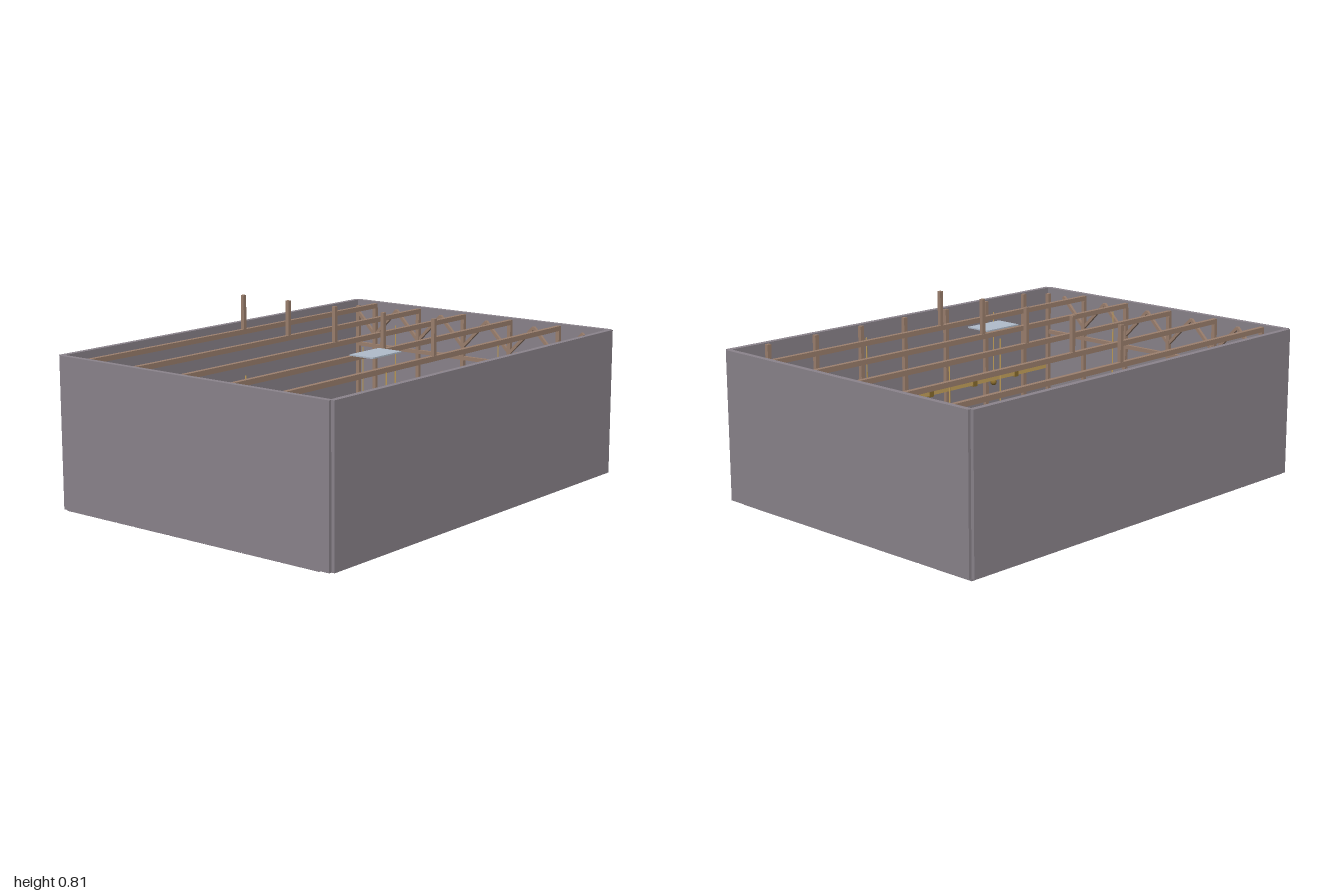
import * as THREE from 'three';

const mat = (name, color) => new THREE.MeshStandardMaterial({ name, color });

export function createModel() {
  const stone = mat('stone', 0x8b848c);
  const wood = mat('wood', 0x9c806e);
  const straw = mat('straw gold', 0xc8a45c);
  const brass = mat('dark brass', 0x8a6d2e);
  const glass = mat('pale glass', 0xb0bccb);

  const model = new THREE.Group();
  model.name = 'timberedHall';
  const group = (name, parent = model) => {
    const g = new THREE.Group();
    g.name = name;
    parent.add(g);
    return g;
  };
  const add = (parent, name, geometry, material, x, y, z) => {
    const m = new THREE.Mesh(geometry, material);
    m.name = name;
    m.position.set(x, y, z);
    parent.add(m);
    return m;
  };
  const box = (parent, name, material, w, h, d, x, y, z) =>
    add(parent, name, new THREE.BoxGeometry(w, h, d), material, x, y, z);

  // Floor of separate stone slabs, stopping short of the front wall
  const floor = group('floor');
  const step = 0.0985;
  for (let i = 0; i < 20; i++) {
    for (let j = 0; j < 14; j++) {
      const wide = j % 4 === 2 ? 0.088 : 0.094;
      box(floor, 'floorSlab', stone, 0.093, 0.01, wide,
        (i - 9.5) * step, 0.005, -0.72 + (j + 0.5) * step);
    }
  }

  // Four walls, meeting with small notches at the corners
  const walls = group('walls');
  for (const s of [-1, 1]) {
    box(walls, s > 0 ? 'frontWall' : 'backWall', stone, 1.97, 0.657, 0.025, 0, 0.3385, s * 0.7225);
    box(walls, 'sideWall', stone, 0.025, 0.657, 1.44, s * 0.9855, 0.3385, 0);
  }

  // Roof tie beams with king posts
  const roof = group('roofFrame');
  const beamZ = [0.463, 0.198, -0.066, -0.331, -0.595];
  for (const z of beamZ) {
    box(roof, 'tieBeam', wood, 1.94, 0.022, 0.02, 0, 0.649, z);
    box(roof, 'kingPost', wood, 0.017, 0.157, 0.017, 0, 0.7365, z);
  }

  // Upright studs inside the front wall
  const framing = group('wallFraming');
  for (let i = -3; i <= 3; i++) {
    box(framing, 'frontStud', wood, 0.02, 0.652, 0.018, i * 0.263, 0.336, 0.701);
  }

  // Side wall posts and diagonal braces
  for (const s of [-1, 1]) {
    const x = s * 0.964;
    for (const z of [-0.7, ...beamZ, 0.7]) {
      box(framing, 'sidePost', wood, 0.018, 0.63, 0.018, x, 0.325, z);
    }
    box(framing, 'sideRail', wood, 0.016, 0.018, 1.4, x, 0.45, 0);
    for (const z of beamZ) {
      for (const d of [-1, 1]) {
        const brace = box(framing, 'kneeBrace', wood, 0.014, 0.014, 0.19, x, 0.57, z + d * 0.066);
        brace.rotation.x = -d * 0.79;
      }
    }
  }

  // Glazed roof light and side window
  box(model, 'roofLight', glass, 0.195, 0.006, 0.122, -0.132, 0.665, 0.262);
  const win = group('sideWindow');
  box(win, 'pane', glass, 0.008, 0.25, 0.16, 0.969, 0.305, 0.262);
  box(win, 'mullion', wood, 0.012, 0.25, 0.008, 0.966, 0.305, 0.262);
  box(win, 'transom', wood, 0.012, 0.008, 0.16, 0.966, 0.305, 0.262);

  // Hanging gold rail with small hooks
  const rail = group('hangingRail');
  box(rail, 'railBar', straw, 0.917, 0.018, 0.02, -0.002, 0.43, 0.257);
  for (const x of [-0.265, 0, 0.265]) {
    box(rail, 'railHook', brass, 0.024, 0.026, 0.026, x, 0.428, 0.257);
  }

  // Lamps on thin rods
  for (const [x, z] of [[0.525, -0.135], [-0.79, 0.127], [0, 0.09], [-0.395, 0.52], [0.392, 0.52]]) {
    const lamp = group('hangingLamp');
    lamp.position.set(x, 0, z);
    add(lamp, 'lampRod', new THREE.CylinderGeometry(0.003, 0.003, 0.33, 6), straw, 0, 0.49, 0);
    add(lamp, 'lampBody', new THREE.SphereGeometry(0.015, 10, 8), brass, 0, 0.32, 0);
  }

  // Long counter near the front wall
  const counter = group('frontCounter');
  box(counter, 'counterTop', wood, 0.915, 0.018, 0.09, -0.002, 0.1, 0.64);
  for (let i = 0; i < 5; i++) {
    for (const z of [0.605, 0.675]) {
      box(counter, 'counterLeg', wood, 0.016, 0.083, 0.012, -0.44 + i * 0.219, 0.05, z);
    }
  }

  // Shelf along the side wall with a row of pegs
  const shelf = group('wallShelf');
  box(shelf, 'shelfBoard', wood, 0.045, 0.018, 0.78, -0.935, 0.17, 0.13);
  for (let i = 0; i < 8; i++) {
    box(shelf, 'shelfPeg', wood, 0.008, 0.012, 0.008, -0.935, 0.185, -0.22 + i * 0.1);
  }
  for (const z of [-0.22, 0.13, 0.48]) box(shelf, 'shelfLeg', wood, 0.03, 0.151, 0.015, -0.937, 0.0855, z);

  // Low straw-coloured bench with a dark seam
  const bench = group('strawBench');
  box(bench, 'benchTop', straw, 0.127, 0.03, 0.076, -0.397, 0.085, 0.062);
  box(bench, 'benchSeam', brass, 0.1, 0.004, 0.006, -0.397, 0.101, 0.062);
  for (const x of [-0.445, -0.349]) box(bench, 'benchLeg', wood, 0.014, 0.06, 0.06, x, 0.04, 0.062);

  // Crates and barrels in the corners
  const stores = group('stores');
  for (const [x, z, s] of [[-0.645, -0.625, 0.055], [-0.632, -0.537, 0.055], [-0.785, -0.523, 0.05],
    [0.877, 0.51, 0.05], [0.855, 0.578, 0.048], [-0.69, 0.62, 0.048]]) {
    box(stores, 'crate', wood, s, s, s, x, 0.01 + s / 2, z);
  }
  const profile = [[0, 0], [0.022, 0], [0.028, 0.023], [0.028, 0.047], [0.022, 0.07], [0, 0.07]]
    .map(([r, y]) => new THREE.Vector2(r, y));
  for (const [x, z] of [[-0.585, -0.595], [0.882, -0.515], [0.737, 0.432], [0.917, 0.547]]) {
    add(stores, 'barrel', new THREE.LatheGeometry(profile, 12), wood, x, 0.01, z);
  }

  return model;
}
